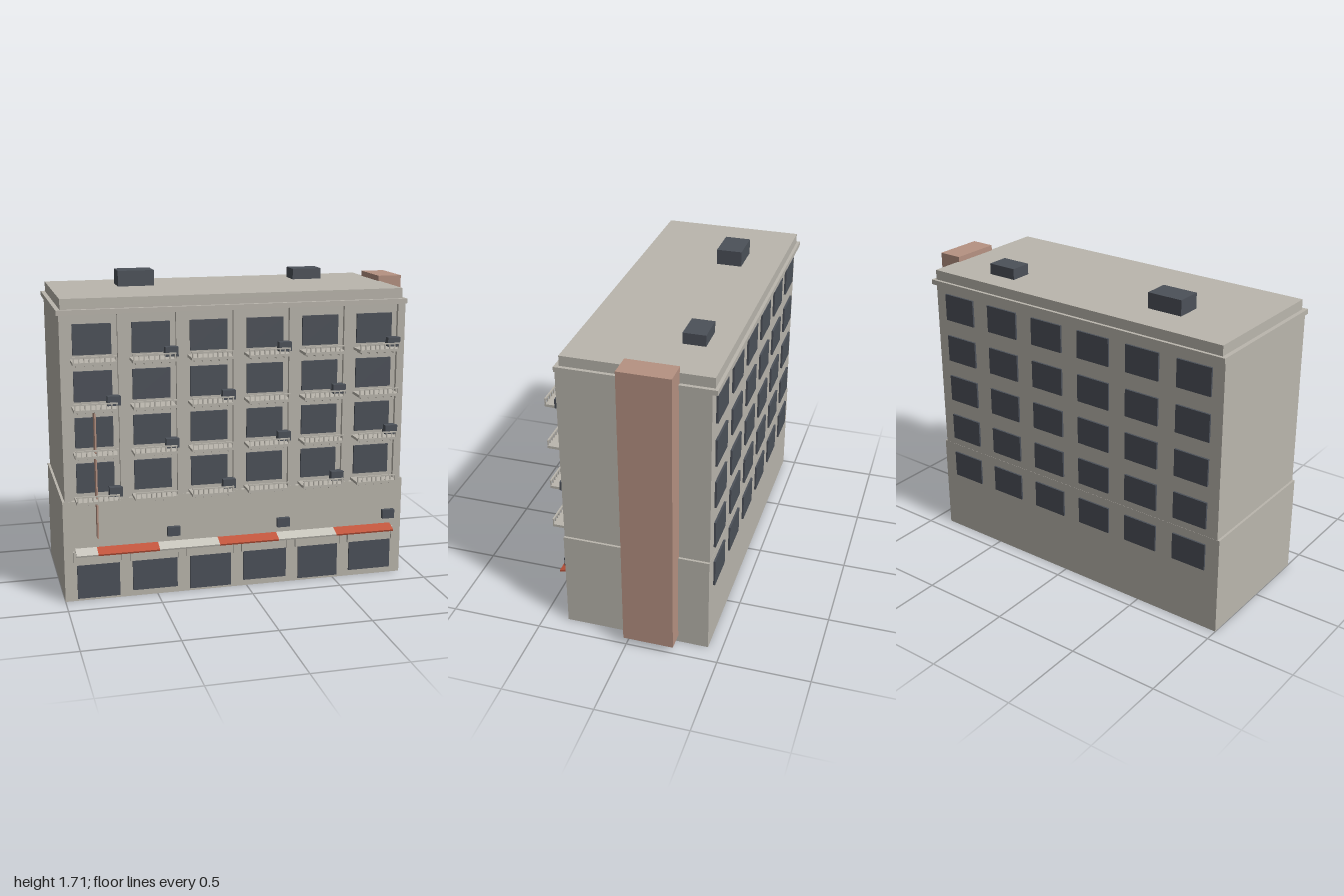
import * as THREE from 'three';

const mat = (name, hex) => {
  const m = new THREE.MeshStandardMaterial({ color: hex });
  m.name = name;
  return m;
};

export function createModel() {
  const model = new THREE.Group();
  model.name = 'apartmentBlock';
  const wall = mat('stone grey', 0xbab6ad);
  const glass = mat('dark slate', 0x4c5159);
  const brick = mat('terracotta', 0xb69282);
  const red = mat('awning red', 0xc2553c);
  const pale = mat('awning pale', 0xc9c6bd);

  // box given by its limits on each axis
  const box = (name, m, x0, x1, y0, y1, z0, z1, parent = model) => {
    const mesh = new THREE.Mesh(new THREE.BoxGeometry(x1 - x0, y1 - y0, z1 - z0), m);
    mesh.position.set((x0 + x1) / 2, (y0 + y1) / 2, (z0 + z1) / 2);
    mesh.name = name;
    parent.add(mesh);
    return mesh;
  };

  // main volumes
  box('groundStorey', wall, -1, 0.9, 0, 0.555, -0.425, 0.367);
  box('upperStoreys', wall, -0.987, 0.887, 0.555, 1.538, -0.424, 0.345);
  box('cornice', wall, -1, 0.895, 1.538, 1.565, -0.452, 0.37);
  box('parapet', wall, -0.977, 0.875, 1.565, 1.62, -0.435, 0.346);

  // side shaft and roof units
  box('sideShaft', brick, 0.865, 1, 0.04, 1.65, -0.26, 0.015);
  box('roofUnitLarge', glass, -0.61, -0.41, 1.62, 1.705, -0.235, -0.095);
  box('roofUnitSmall', glass, 0.418, 0.585, 1.62, 1.68, -0.308, -0.188);

  const bays = 6, step = 0.307;
  const bayX = i => -0.82 + i * step;
  const floors = [0.555, 0.8, 1.045, 1.29];

  // pilasters between the recessed bays
  for (let i = 0; i <= bays; i++) {
    const x0 = i === 0 ? -0.987 : bayX(i - 1) + 0.131;
    const x1 = i === bays ? 0.887 : bayX(i) - 0.131;
    box('pilaster', wall, x0, x1, 0.555, 1.538, 0.345, 0.366);
  }

  // balcony: slab, brackets, balusters and top rail
  const addBalcony = (x, y) => {
    const g = new THREE.Group();
    g.name = 'balcony';
    g.position.set(x, y, 0);
    box('slab', wall, -0.113, 0.113, 0.004, 0.018, 0.345, 0.455, g);
    for (let k = 0; k < 5; k++) {
      const bx = -0.09 + k * 0.045;
      box('bracket', wall, bx - 0.003, bx + 0.003, -0.01, 0.004, 0.345, 0.425, g);
    }
    for (let k = 0; k < 9; k++) {
      const px = -0.108 + k * 0.027;
      box('baluster', wall, px - 0.003, px + 0.003, 0.018, 0.044, 0.449, 0.455, g);
    }
    box('rail', wall, -0.113, 0.113, 0.043, 0.05, 0.448, 0.456, g);
    model.add(g);
  };

  const addCooler = (bay, y) => {
    const x = bayX(bay) + 0.103;
    box('airConditioner', glass, x - 0.035, x + 0.035, y - 0.025, y + 0.025, 0.345, 0.392);
  };

  floors.forEach((y, f) => {
    for (let i = 0; i < bays; i++) {
      const x = bayX(i);
      box('frontWindow', glass, x - 0.1, x + 0.1, y + 0.04, y + 0.2, 0.345, 0.356);
      addBalcony(x, y);
      if ((i + f) % 2 === 0) addCooler(i, y + 0.044);
    }
  });
  for (const i of [1, 3, 5]) addCooler(i, 0.354);

  // rear windows, five rows
  for (let r = 0; r < 5; r++)
    for (let i = 0; i < bays; i++) {
      const x = bayX(i), y = 0.355 + r * 0.246;
      box('rearWindow', glass, x - 0.1, x + 0.1, y, y + 0.152, -0.435, -0.424);
    }

  // shop fronts with fascia panels
  for (let i = 0; i < bays; i++) {
    const x = bayX(i), odd = i % 2;
    const w = odd ? 0.122 : 0.114;
    box('shopWindow', glass, x - w, x + w, odd ? 0.035 : 0.015, 0.202, 0.367, 0.377);
    box('fascia', wall, x - 0.125, x + 0.125, 0.202, 0.268, 0.367, 0.376);
    for (const s of [-1, 1])
      box('fasciaPost', wall, x + s * 0.129 - 0.004, x + s * 0.129 + 0.004, 0.202, 0.28, 0.367, 0.385);
  }

  // sloping awning in alternating stretches
  const awning = new THREE.Group();
  awning.name = 'awning';
  const cuts = [-0.94, -0.825, -0.495, -0.165, 0.167, 0.5, 0.835];
  for (let i = 0; i < 6; i++)
    box('awningPanel', i % 2 ? red : pale, cuts[i], cuts[i + 1], -0.005, 0.005, 0, 0.067, awning);
  awning.position.set(0, 0.291, 0.365);
  awning.rotation.x = 0.33;
  model.add(awning);

  // projecting vertical blade on the facade
  box('facadeBlade', brick, -0.825, -0.817, 0.355, 1.035, 0.345, 0.41);

  return model;
}
